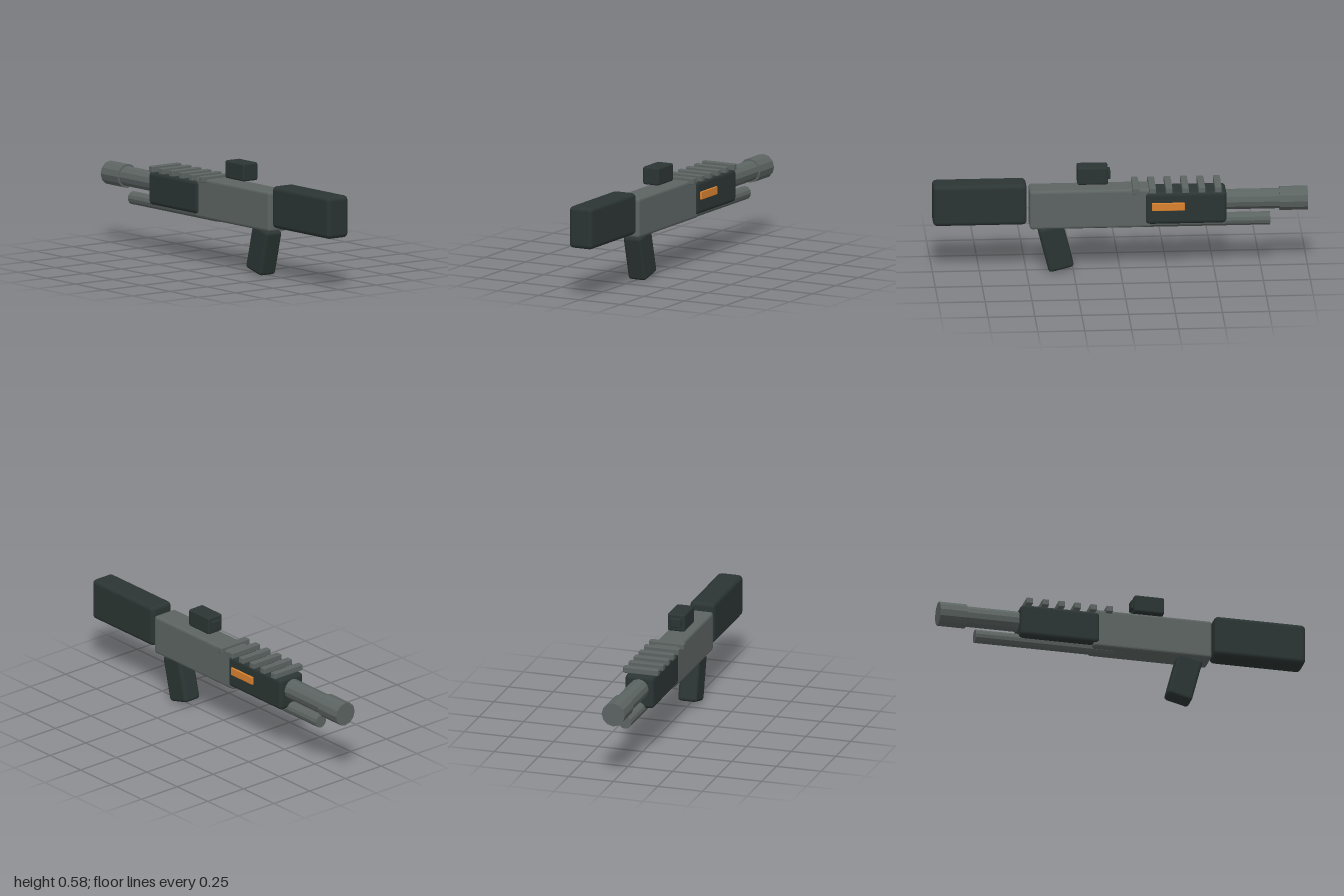
import * as THREE from 'three';
import { RoundedBoxGeometry } from 'three/addons/geometries/RoundedBoxGeometry.js';

export function createModel() {
  const model = new THREE.Group();
  model.name = 'toyBlaster';

  const material = (name, color, flatShading = false) =>
    new THREE.MeshStandardMaterial({ name, color, flatShading });
  const dark = material('darkPolymer', 0x2b3533);
  const metal = material('gunmetalGrey', 0x5c6462, true);
  const orange = material('orangeAccent', 0xd9822f);

  const add = (name, geometry, mat, x, y, z) => {
    const mesh = new THREE.Mesh(geometry, mat);
    mesh.name = name;
    mesh.position.set(x, y, z);
    model.add(mesh);
    return mesh;
  };

  // Softened box given by its limits on each axis
  const block = (name, mat, [x0, x1], [y0, y1], [z0, z1], radius) =>
    add(name, new RoundedBoxGeometry(x1 - x0, y1 - y0, z1 - z0, 2, radius), mat,
      (x0 + x1) / 2, (y0 + y1) / 2, (z0 + z1) / 2);

  // Faceted tube lying along z
  const tube = (name, radius, y, z0, z1) =>
    add(name, new THREE.CylinderGeometry(radius, radius, z1 - z0, 12).rotateX(Math.PI / 2),
      metal, 0, y, (z0 + z1) / 2);

  // Main body
  block('stock', dark, [-0.07, 0.07], [0.28, 0.507], [0.5, 1], 0.024);
  block('receiver', metal, [-0.072, 0.072], [0.254, 0.47], [-0.165, 0.485], 0.015);
  block('foregrip', dark, [-0.081, 0.081], [0.272, 0.452], [-0.565, -0.13], 0.022);

  // Slanted handle
  const handle = add('handle', new RoundedBoxGeometry(0.107, 0.25, 0.138, 2, 0.018), dark, 0, 0.139, 0.344);
  handle.rotation.x = 0.25;

  // Barrel, muzzle and lower tube
  tube('barrel', 0.055, 0.381, -0.86, -0.16);
  tube('muzzle', 0.065, 0.381, -1, -0.85);
  tube('lowerTube', 0.036, 0.271, -0.8, -0.04);

  // Cross bars along the top
  for (let i = 0; i < 6; i++) {
    const z = -0.082 - i * 0.0875;
    block('railBar', metal, [-0.098, 0.098], [0.452, 0.485], [z - 0.018, z + 0.018], 0.004);
  }

  // Sight with its small lens housing
  block('sight', dark, [-0.049, 0.049], [0.492, 0.589], [0.065, 0.23], 0.011);
  block('sightLens', dark, [-0.03, 0.03], [0.516, 0.567], [0.052, 0.075], 0.006);

  // Accent strip on the left side
  block('accentStrip', orange, [0.075, 0.091], [0.352, 0.395], [-0.341, -0.166], 0.003);

  return model;
}
